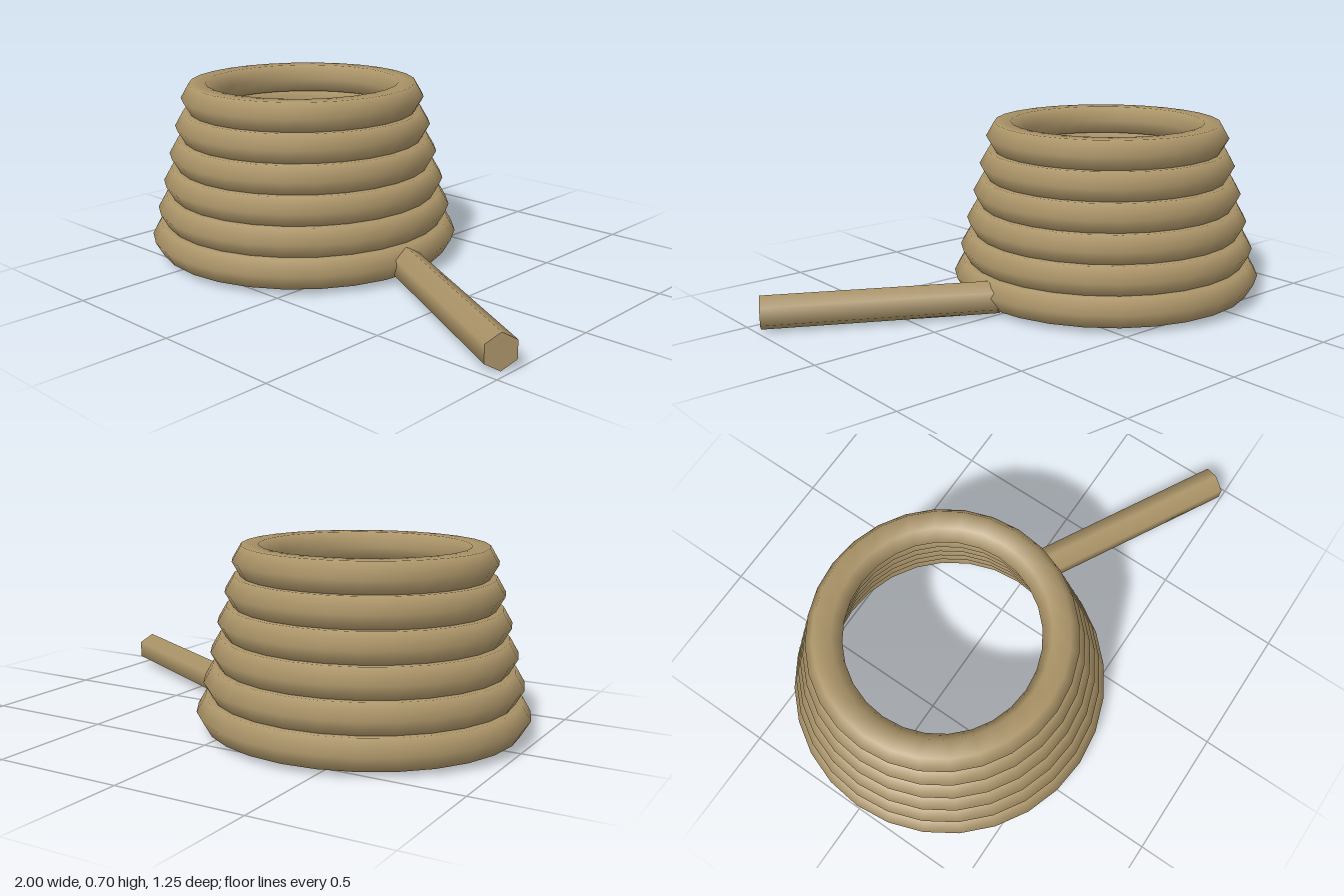
import * as THREE from 'three';

export function createModel() {
  const group = new THREE.Group();
  const rope = new THREE.MeshStandardMaterial({ color: 0xab9468 });
  rope.name = 'tan rope';

  const r = 0.0665;      // rope thickness (radius)
  const coilX = -0.375;  // coil axis

  // Stack of narrowing coils
  const coils = new THREE.Group();
  coils.name = 'coils';
  for (let i = 0; i < 6; i++) {
    const geo = new THREE.TorusGeometry(0.5585 - i * 0.027, r, 6, 28);
    geo.rotateX(Math.PI / 2);
    const ring = new THREE.Mesh(geo, rope);
    ring.name = 'coil' + (i + 1);
    ring.position.set(coilX, 0.08 + i * 0.112, 0);
    coils.add(ring);
  }
  group.add(coils);

  // Loose straight end, six-sided with a corner on top
  const length = 0.9, angle = 0.5;
  const geo = new THREE.CylinderGeometry(r, r, length, 6);
  geo.rotateX(-Math.PI / 2);
  geo.rotateY(Math.PI / 2 - angle);
  const tail = new THREE.Mesh(geo, rope);
  tail.name = 'looseEnd';
  tail.position.set(
    0.182 + Math.cos(angle) * length / 2,
    r,
    0.012 + Math.sin(angle) * length / 2
  );
  group.add(tail);

  return group;
}
